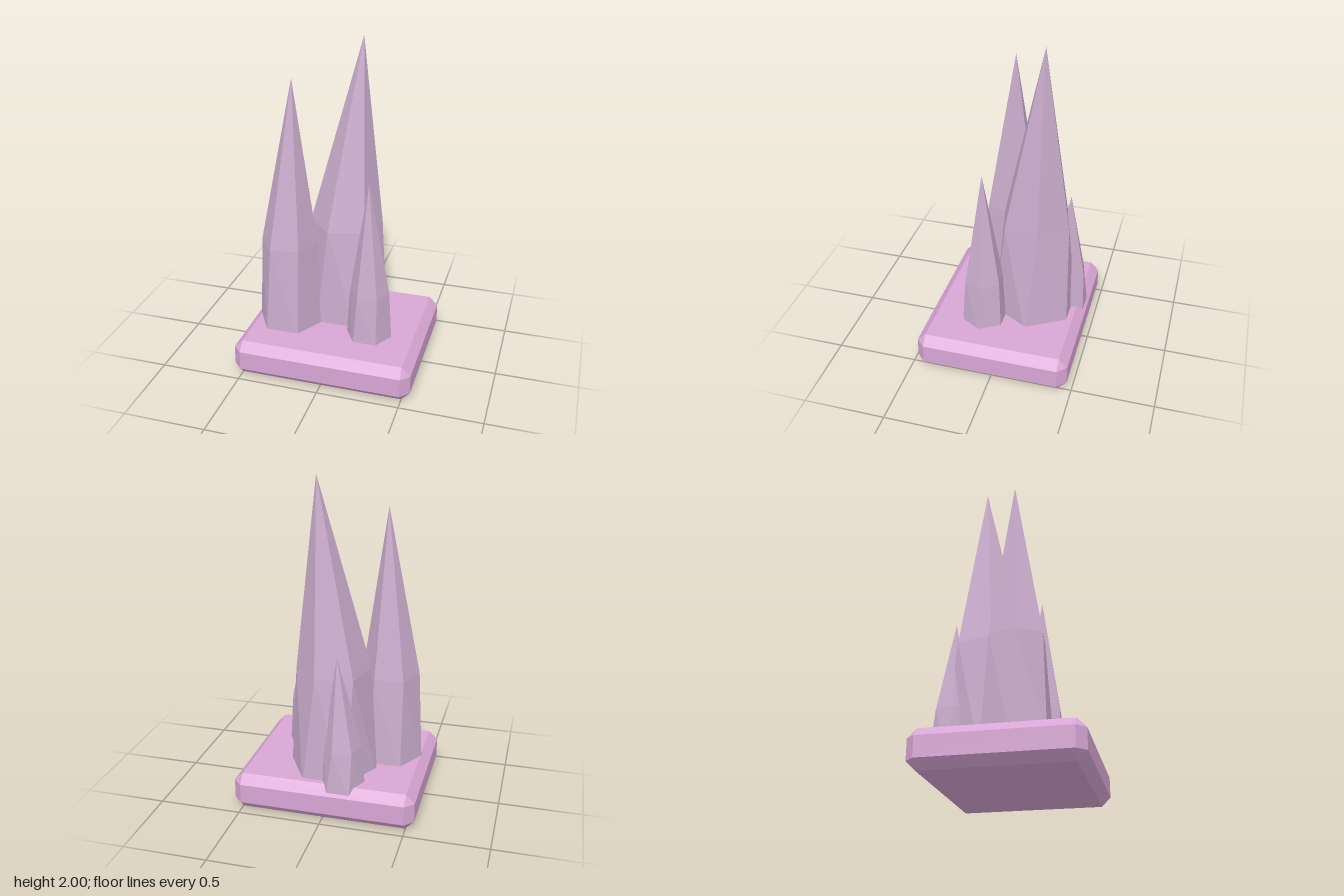
import * as THREE from 'three';
import { ConvexGeometry } from 'three/addons/geometries/ConvexGeometry.js';

// Box with every edge and corner bevelled flat, standing on y = 0
function bevelledBox(w, h, d, b) {
  const points = [];
  for (const sx of [-1, 1]) for (const sy of [-1, 1]) for (const sz of [-1, 1]) {
    const x = w / 2, y = h / 2, z = d / 2;
    for (const [px, py, pz] of [[x, y - b, z - b], [x - b, y, z - b], [x - b, y - b, z]]) {
      points.push(new THREE.Vector3(sx * px, sy * py + h / 2, sz * pz));
    }
  }
  return new ConvexGeometry(points);
}

// Six-sided crystal: foot ring, slightly twisted shoulder ring, leaning tip
function crystalGeometry({ center: [cx, cz], foot, shoulder, shoulderY, twist, tip }) {
  const sides = 6, footY = 0.17, positions = [];
  const ring = (i, r, y, turn) => {
    const a = (i / sides) * Math.PI * 2 + turn;
    return [cx + r * Math.cos(a), y, cz + r * Math.sin(a)];
  };
  for (let i = 0; i < sides; i++) {
    const f0 = ring(i, foot, footY, 0), f1 = ring(i + 1, foot, footY, 0);
    const s0 = ring(i, shoulder, shoulderY, twist), s1 = ring(i + 1, shoulder, shoulderY, twist);
    positions.push(...f1, ...f0, ...s1);
    positions.push(...f0, ...s0, ...s1);
    positions.push(...s1, ...s0, ...tip);
    positions.push(...f0, ...f1, cx, footY, cz);
  }
  const geometry = new THREE.BufferGeometry();
  geometry.setAttribute('position', new THREE.Float32BufferAttribute(positions, 3));
  geometry.computeVertexNormals();
  return geometry;
}

export function createModel() {
  const group = new THREE.Group();
  group.name = 'crystalCluster';

  const baseMaterial = new THREE.MeshStandardMaterial({ color: 0xd9a6d5, flatShading: true });
  baseMaterial.name = 'pink base';
  const crystalMaterial = new THREE.MeshStandardMaterial({ color: 0xcbadcd, flatShading: true });
  crystalMaterial.name = 'pale mauve crystal';

  // Base slab
  const base = new THREE.Mesh(bevelledBox(1.1, 0.225, 0.94, 0.053), baseMaterial);
  base.name = 'base';
  group.add(base);

  // Crystals
  const crystals = {
    tallCrystal: { center: [0, -0.15], foot: 0.27, shoulder: 0.222, shoulderY: 0.85, twist: -0.25, tip: [0.083, 2, -0.205] },
    leftCrystal: { center: [-0.299, 0.073], foot: 0.206, shoulder: 0.173, shoulderY: 0.77, twist: -0.11, tip: [-0.272, 1.79, 0.055] },
    rightCrystal: { center: [0.222, 0.12], foot: 0.144, shoulder: 0.12, shoulderY: 0.52, twist: -0.09, tip: [0.21, 1.23, 0.127] },
    backCrystal: { center: [-0.1, -0.335], foot: 0.138, shoulder: 0.115, shoulderY: 0.44, twist: -0.2, tip: [-0.07, 1.0, -0.345] },
  };
  for (const [name, spec] of Object.entries(crystals)) {
    const mesh = new THREE.Mesh(crystalGeometry(spec), crystalMaterial);
    mesh.name = name;
    group.add(mesh);
  }
  return group;
}
